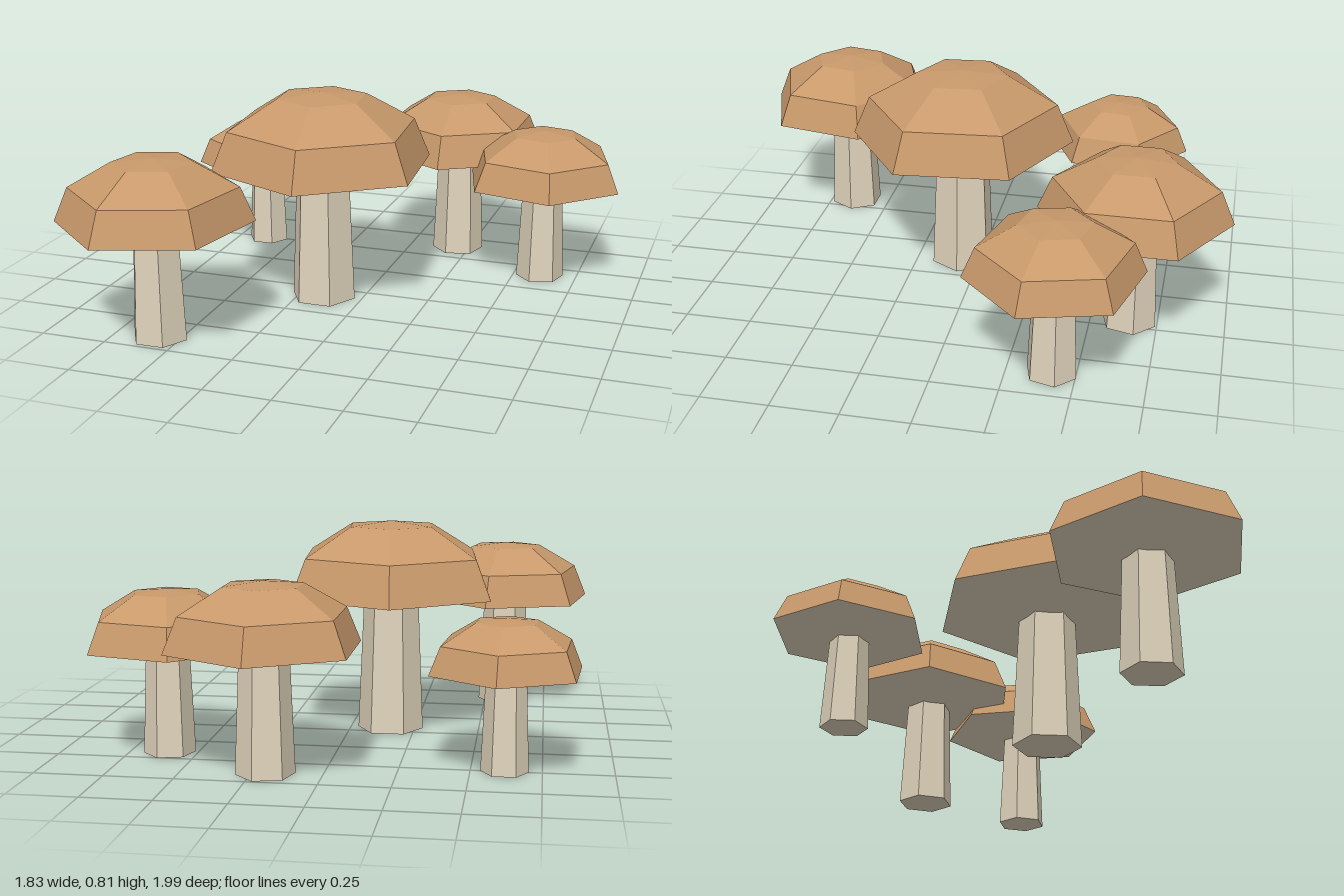
import * as THREE from 'three';

const capMaterial = new THREE.MeshStandardMaterial({ color: 0xc8996b, flatShading: true });
capMaterial.name = 'cap brown';
const stemMaterial = new THREE.MeshStandardMaterial({ color: 0xdfd3bb, flatShading: true });
stemMaterial.name = 'stem cream';

const SIDES = 6;
const points = (list) => list.map(([r, y]) => new THREE.Vector2(r, y));

// Profiles of the largest mushroom, listed from bottom to top
const capProfile = points([[0.432, 0.536], [0.368, 0.687], [0.177, 0.798], [0, 0.815]]);
const gillProfile = points([[0, 0.485], [0.432, 0.536]]);
const STEM_HEIGHT = 0.51;

// x, z, scale, cap turn and stem turn in degrees
const mushrooms = [
  ['centreMushroom', -0.155, 0.07, 1, 5.3, 30],
  ['backMushroom', 0.2, -0.643, 0.828, 0, 45],
  ['frontRightMushroom', -0.578, 0.642, 0.828, -11.1, 30],
  ['backRightMushroom', -0.619, -0.497, 0.664, -5, 30],
  ['leftMushroom', 0.604, -0.412, 0.743, 15.3, 45],
];

function addPart(group, name, geometry, material, turn) {
  const mesh = new THREE.Mesh(geometry, material);
  mesh.name = name;
  mesh.rotation.y = THREE.MathUtils.degToRad(turn);
  group.add(mesh);
  return mesh;
}

function createMushroom([name, x, z, scale, capTurn, stemTurn]) {
  const mushroom = new THREE.Group();
  mushroom.name = name;
  // Faceted dome
  addPart(mushroom, 'cap', new THREE.LatheGeometry(capProfile, SIDES), capMaterial, capTurn);
  // Shallow cone under the dome
  addPart(mushroom, 'underside', new THREE.LatheGeometry(gillProfile, SIDES), stemMaterial, capTurn);
  // Tapered stem
  const stem = new THREE.CylinderGeometry(0.106, 0.127, STEM_HEIGHT, SIDES);
  addPart(mushroom, 'stem', stem, stemMaterial, stemTurn).position.y = STEM_HEIGHT / 2;
  mushroom.position.set(x, 0, z);
  mushroom.scale.setScalar(scale);
  return mushroom;
}

export function createModel() {
  const model = new THREE.Group();
  model.name = 'mushroomCluster';
  for (const spec of mushrooms) model.add(createMushroom(spec));
  return model;
}
